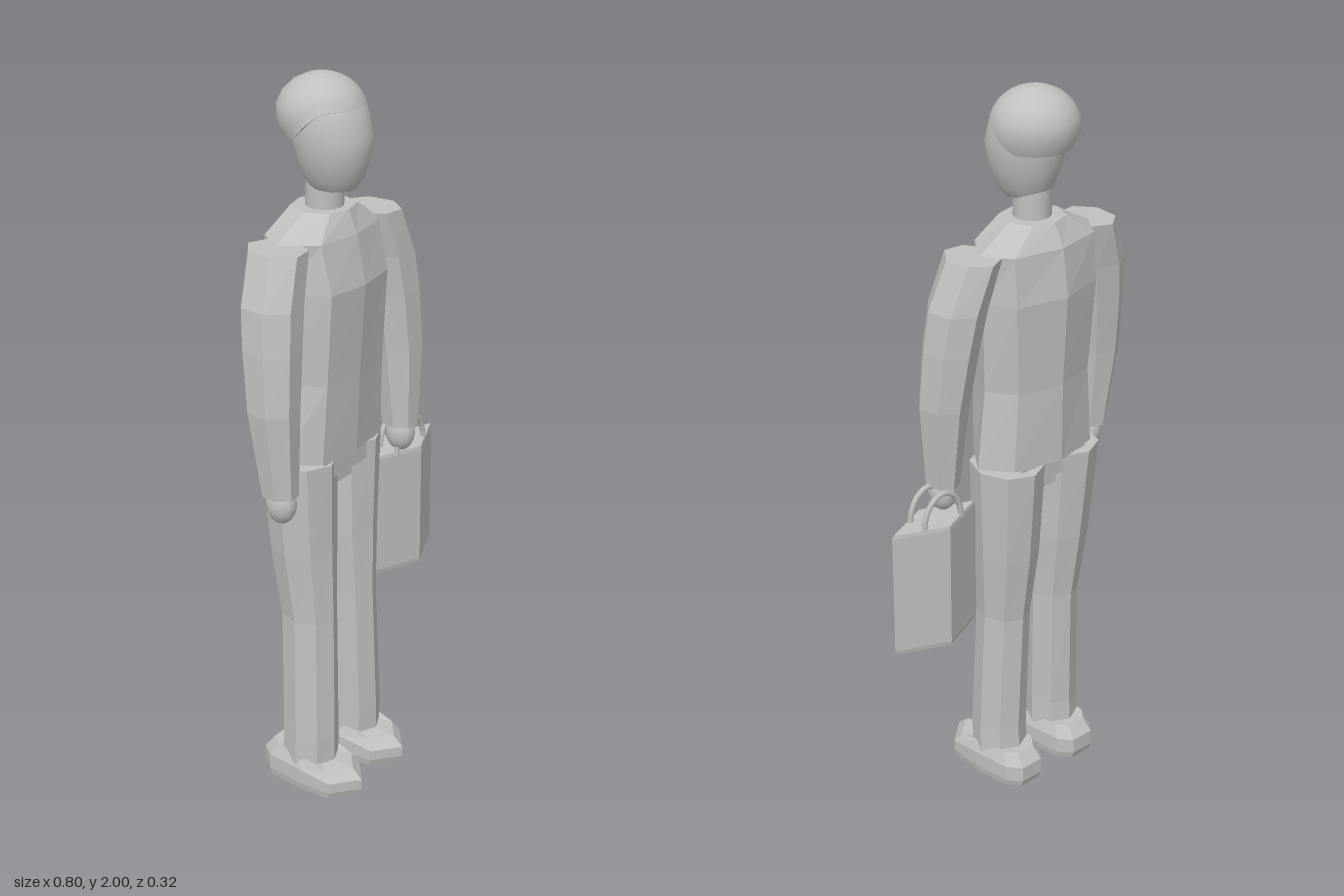
import * as THREE from 'three';

const material = new THREE.MeshStandardMaterial({ color: 0xc0c0c0 });
material.name = 'plain grey';
const AXIS = -0.065; // centre line of the body

// Ring of points around the vertical, starting at the front and going to +x
function ring(y, cx, cz, rx, rz, sides, turn = 0) {
  return Array.from({ length: sides }, (_, i) => {
    const a = turn + (i / sides) * Math.PI * 2;
    return new THREE.Vector3(cx + Math.sin(a) * rx, y, cz + Math.cos(a) * rz);
  });
}

// Closed skin over rings listed from bottom to top
function loft(rings, smooth = false) {
  const n = rings[0].length, points = rings.flat(), index = [];
  for (let i = 0; i < rings.length - 1; i++) {
    for (let j = 0; j < n; j++) {
      const a = i * n + j, b = i * n + (j + 1) % n;
      index.push(a, b, b + n, a, b + n, a + n);
    }
  }
  for (const top of [false, true]) {
    const cap = top ? rings[rings.length - 1] : rings[0];
    const centre = cap.reduce((s, p) => s.add(p), new THREE.Vector3()).divideScalar(n);
    const base = points.length;
    points.push(...cap, centre);
    for (let j = 0; j < n; j++) {
      const k = (j + 1) % n;
      index.push(base + n, base + (top ? j : k), base + (top ? k : j));
    }
  }
  let geometry = new THREE.BufferGeometry().setFromPoints(points);
  geometry.setIndex(index);
  if (!smooth) geometry = geometry.toNonIndexed();
  geometry.computeVertexNormals();
  return geometry;
}

export function createModel() {
  const model = new THREE.Group();
  model.name = 'standing man with case';
  const add = (name, geometry, x = 0, y = 0, z = 0) => {
    const mesh = new THREE.Mesh(geometry, material);
    mesh.name = name;
    mesh.position.set(x, y, z);
    model.add(mesh);
    return mesh;
  };

  // Torso: y, then x/z of the front centre, front corner, side, back corner, back centre
  const torso = [
    [1.0, 0.07, 0.13, 0.055, 0.2, -0.04, 0.14, -0.115, -0.15],
    [1.22, 0.08, 0.122, 0.065, 0.175, -0.04, 0.125, -0.115, -0.15],
    [1.47, 0.097, 0.122, 0.08, 0.18, -0.04, 0.14, -0.125, -0.163],
    [1.6, 0.07, 0.125, 0.05, 0.19, -0.04, 0.14, -0.115, -0.145],
    [1.66, 0.045, 0.06, 0.03, 0.085, -0.035, 0.06, -0.095, -0.112],
  ].map(([y, f, cx, cz, sx, sz, bx, bz, b]) =>
    [[0, f], [cx, cz], [sx, sz], [bx, bz], [0, b], [-bx, bz], [-sx, sz], [-cx, cz]]
      .map(([x, z]) => new THREE.Vector3(AXIS + x, y, z)));
  add('torso', loft(torso));

  // Pelvis
  add('pelvis', new THREE.BoxGeometry(0.23, 0.06, 0.17), AXIS, 0.972, -0.035);
  add('crotch', new THREE.BoxGeometry(0.15, 0.06, 0.13), AXIS, 0.936, -0.035);

  for (const s of [-1, 1]) {
    const side = s < 0 ? 'right' : 'left';

    // Leg: y, distance from centre line, z, half width, half depth
    add(side + 'Leg', loft([
      [0.06, 0.101, -0.015, 0.073, 0.082],
      [0.16, 0.1, -0.012, 0.072, 0.08],
      [0.52, 0.092, -0.02, 0.069, 0.08],
      [0.72, 0.094, -0.035, 0.085, 0.093],
      [0.99, 0.1, -0.045, 0.096, 0.107],
    ].map(([y, x, z, rx, rz]) => ring(y, AXIS + s * x, z, rx, rz, 8))));

    // Shoe: an outline with a pointed toe, high at the heel
    const outline = [[0, 0.16], [0.073, 0.1], [0.078, 0.0], [0.065, -0.11], [0.035, -0.148],
      [-0.035, -0.148], [-0.065, -0.11], [-0.078, 0.0], [-0.073, 0.1]];
    const shoeRing = (grow, height) => outline.map(([x, z]) =>
      new THREE.Vector3(AXIS + s * 0.1 + x * grow, height(z), z * grow));
    add(side + 'Shoe', loft([
      shoeRing(0.95, () => 0),
      shoeRing(1, () => 0.02),
      shoeRing(1, (z) => (z > 0.05 ? 0.05 : 0.065)),
      shoeRing(0.82, (z) => (z > 0.05 ? 0.075 : 0.1)),
    ]));

    // Arm, cut flat at the shoulder
    add(side + 'Arm', loft([
      [0.965, 0.272, 0.022, 0.043, 0.052],
      [1.2, 0.276, 0.008, 0.064, 0.072],
      [1.36, 0.262, -0.005, 0.071, 0.082],
      [1.47, 0.246, -0.015, 0.075, 0.085],
      [1.6, 0.203, -0.028, 0.067, 0.085],
    ].map(([y, x, z, rx, rz]) => ring(y, AXIS + s * x, z, rx, rz, 7, s * 0.35))));

    // Hand
    const hand = new THREE.SphereGeometry(1, 12, 8);
    hand.scale(0.035, 0.055, 0.044);
    add(side + 'Hand', hand, AXIS + s * 0.27, 0.94, 0.025);
  }

  // Neck
  add('neck', new THREE.CylinderGeometry(0.05, 0.05, 0.12, 16), AXIS, 1.69, -0.03);

  // Head: y, half width, front z, back z
  add('head', loft([
    [1.713, 0.053, 0.06, -0.065],
    [1.74, 0.073, 0.078, -0.083],
    [1.79, 0.092, 0.094, -0.1],
    [1.85, 0.104, 0.1, -0.112],
    [1.92, 0.101, 0.077, -0.112],
    [1.965, 0.07, 0.04, -0.09],
    [1.985, 0.03, 0, -0.06],
  ].map(([y, rx, f, b]) => ring(y, AXIS, (f + b) / 2, rx, (f - b) / 2, 24)), true));

  // Hair: a dome whose rim drops from the forehead to the nape
  const rows = 7;
  add('hair', loft(Array.from({ length: rows }, (_, i) =>
    ring(0, 0, 0, 1, 1, 24).map(({ x, z }) => {
      const rim = THREE.MathUtils.lerp(1.845, 1.925, THREE.MathUtils.smoothstep(z, -0.3, 0.7));
      const y = rim + (1.999 - rim) * Math.sin((i / (rows - 1)) * Math.PI / 2);
      const r = Math.sqrt(1 - ((y - 1.9) / 0.1) ** 2);
      return new THREE.Vector3(AXIS - 0.002 + x * r * 0.117, y, -0.037 + z * r * 0.115);
    })), true));

  // Case: diamond in plan with small bevels
  add('caseBody', loft([[0.52, 0.96], [0.532, 1], [0.875, 1], [0.885, 0.97]]
    .map(([y, k]) => ring(y, 0.255, 0, 0.145 * k, 0.063 * k, 4))));

  // Pair of arched handles
  for (const z of [-0.028, 0.028]) {
    const arch = new THREE.CatmullRomCurve3(Array.from({ length: 9 }, (_, i) => {
      const a = (i / 8) * Math.PI;
      return new THREE.Vector3(0.25 - Math.cos(a) * 0.065, 0.875 + Math.sin(a) * 0.092, z);
    }));
    add(z < 0 ? 'backHandle' : 'frontHandle', new THREE.TubeGeometry(arch, 12, 0.008, 6));
  }
  return model;
}
